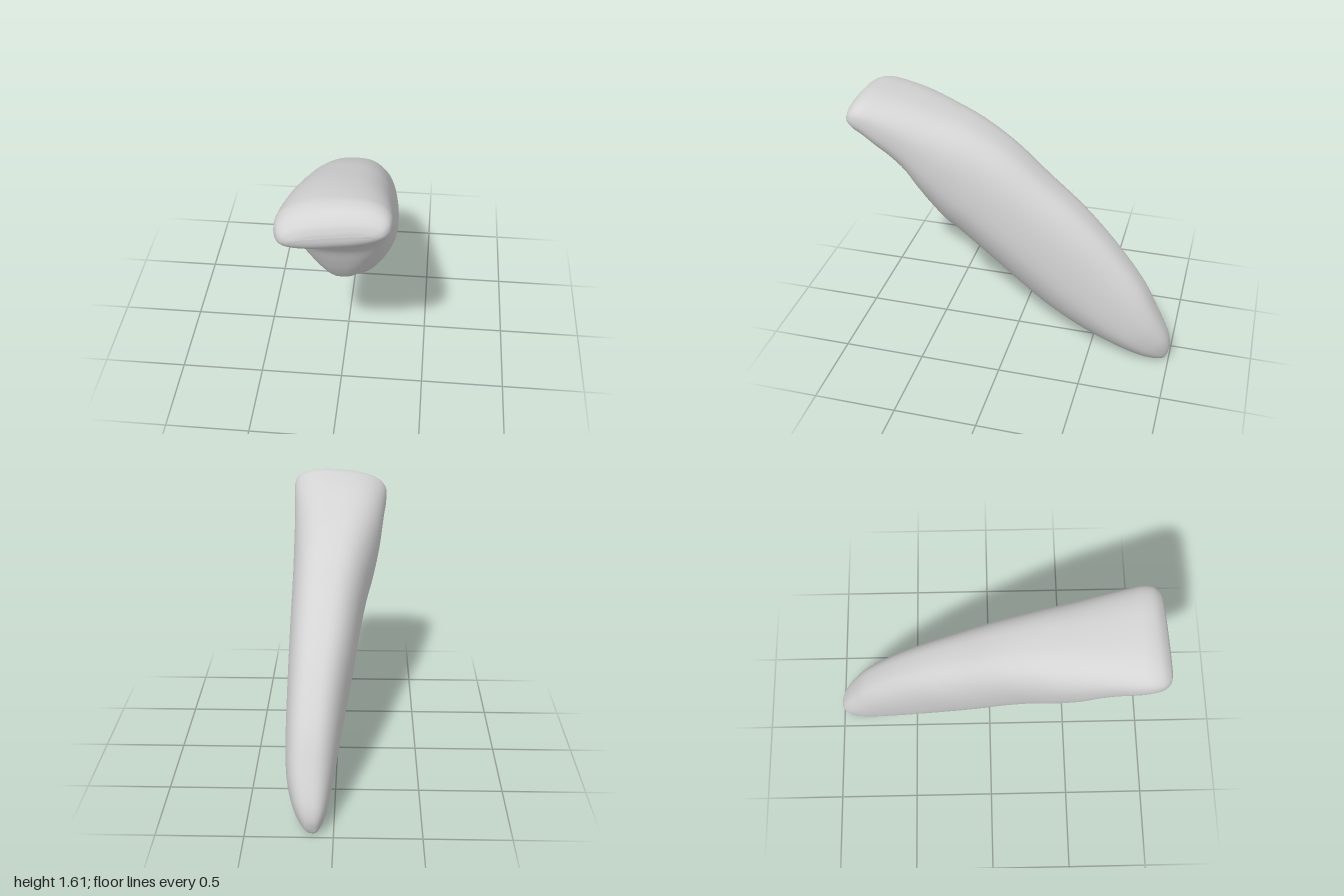
import * as THREE from 'three';

// Stations from root tip to biting edge:
// [outer z, outer y, inner z, inner y, min x, max x, inner narrowing]
const STATIONS = [
  [-0.99, 0.05, -0.99, 0.05, 0.125, 0.13, 0.9],
  [-1.0, 0.1, -0.965, 0.004, 0.092, 0.16, 0.9],
  [-0.993, 0.165, -0.9, 0.0, 0.06, 0.198, 0.85],
  [-0.965, 0.245, -0.8, 0.015, 0.036, 0.235, 0.75],
  [-0.9, 0.38, -0.65, 0.06, 0.01, 0.27, 0.65],
  [-0.8, 0.56, -0.45, 0.135, -0.02, 0.285, 0.6],
  [-0.62, 0.78, -0.22, 0.26, -0.06, 0.288, 0.6],
  [-0.42, 0.975, 0.0, 0.42, -0.105, 0.288, 0.6],
  [-0.2, 1.15, 0.2, 0.58, -0.142, 0.287, 0.6],
  [-0.03, 1.285, 0.37, 0.71, -0.18, 0.285, 0.6],
  [0.1, 1.37, 0.46, 0.78, -0.21, 0.285, 0.65],
  [0.25, 1.445, 0.54, 0.89, -0.24, 0.287, 0.75],
  [0.4, 1.5, 0.6, 1.0, -0.262, 0.289, 0.85],
  [0.55, 1.55, 0.66, 1.12, -0.278, 0.292, 0.92],
  [0.67, 1.583, 0.74, 1.215, -0.29, 0.297, 0.97],
  [0.78, 1.607, 0.82, 1.285, -0.302, 0.303, 1],
  [0.86, 1.617, 0.9, 1.35, -0.305, 0.305, 1],
  [0.93, 1.602, 0.955, 1.39, -0.29, 0.297, 1],
  [0.977, 1.56, 0.985, 1.425, -0.26, 0.272, 1],
  [0.995, 1.52, 0.997, 1.455, -0.22, 0.235, 1],
  [1.0, 1.488, 1.0, 1.488, -0.18, 0.19, 1],
];

const RINGS = 100, SIDES = 48;
const softPow = (s, e) => Math.sign(s) * Math.abs(s) ** e;

// Lofts rounded sections between the outer and inner profile curves
function toothGeometry() {
  const curve = (pick) => new THREE.CatmullRomCurve3(
    STATIONS.map((s) => new THREE.Vector3(...pick(s))), false, 'catmullrom', 0.5);
  const outer = curve((s) => [0, s[1], s[0]]);
  const inner = curve((s) => [0, s[3], s[2]]);
  const width = curve((s) => [s[4], s[5], s[6]]);
  const positions = [], indices = [];

  for (let i = 0; i <= RINGS; i++) {
    const t = i / RINGS;
    const o = outer.getPoint(t), n = inner.getPoint(t), w = width.getPoint(t);
    const middle = (w.x + w.y) / 2, half = (w.y - w.x) / 2;
    const crown = THREE.MathUtils.smoothstep(t, 0.6, 0.9);
    for (let j = 0; j < SIDES; j++) {
      const a = (j / SIDES) * Math.PI * 2;
      const u = softPow(Math.cos(a), 0.76), v = softPow(Math.sin(a), 0.8);
      const low = Math.min(v, 0) ** 2;
      // inner side narrows to an off-centre ridge on the root
      const x = middle + half * u * (1 - (1 - w.z) * low) - 0.1 * (1 - w.z) * low;
      const p = n.clone().lerp(o, (v + 1) / 2);
      // the biting edge slopes down and forward towards one corner
      const drop = crown * (0.07 * (x - 0.12) - 0.12 * (x - 0.12) ** 2);
      positions.push(x, Math.max(0, p.y + drop), p.z - crown * 0.06 * (x + 0.12));
    }
  }
  for (let i = 0; i < RINGS; i++) {
    for (let j = 0; j < SIDES; j++) {
      const a = i * SIDES + j, b = i * SIDES + (j + 1) % SIDES;
      indices.push(a, b, a + SIDES, b, b + SIDES, a + SIDES);
    }
  }

  const geometry = new THREE.BufferGeometry();
  geometry.setAttribute('position', new THREE.Float32BufferAttribute(positions, 3));
  geometry.setIndex(indices);
  geometry.computeVertexNormals();
  return geometry;
}

export function createModel() {
  const group = new THREE.Group();
  group.name = 'incisorTooth';
  const enamel = new THREE.MeshStandardMaterial({ color: 0xd4d4d4 });
  enamel.name = 'pale grey';
  const tooth = new THREE.Mesh(toothGeometry(), enamel);
  tooth.name = 'toothCrownAndRoot';
  group.add(tooth);
  return group;
}
